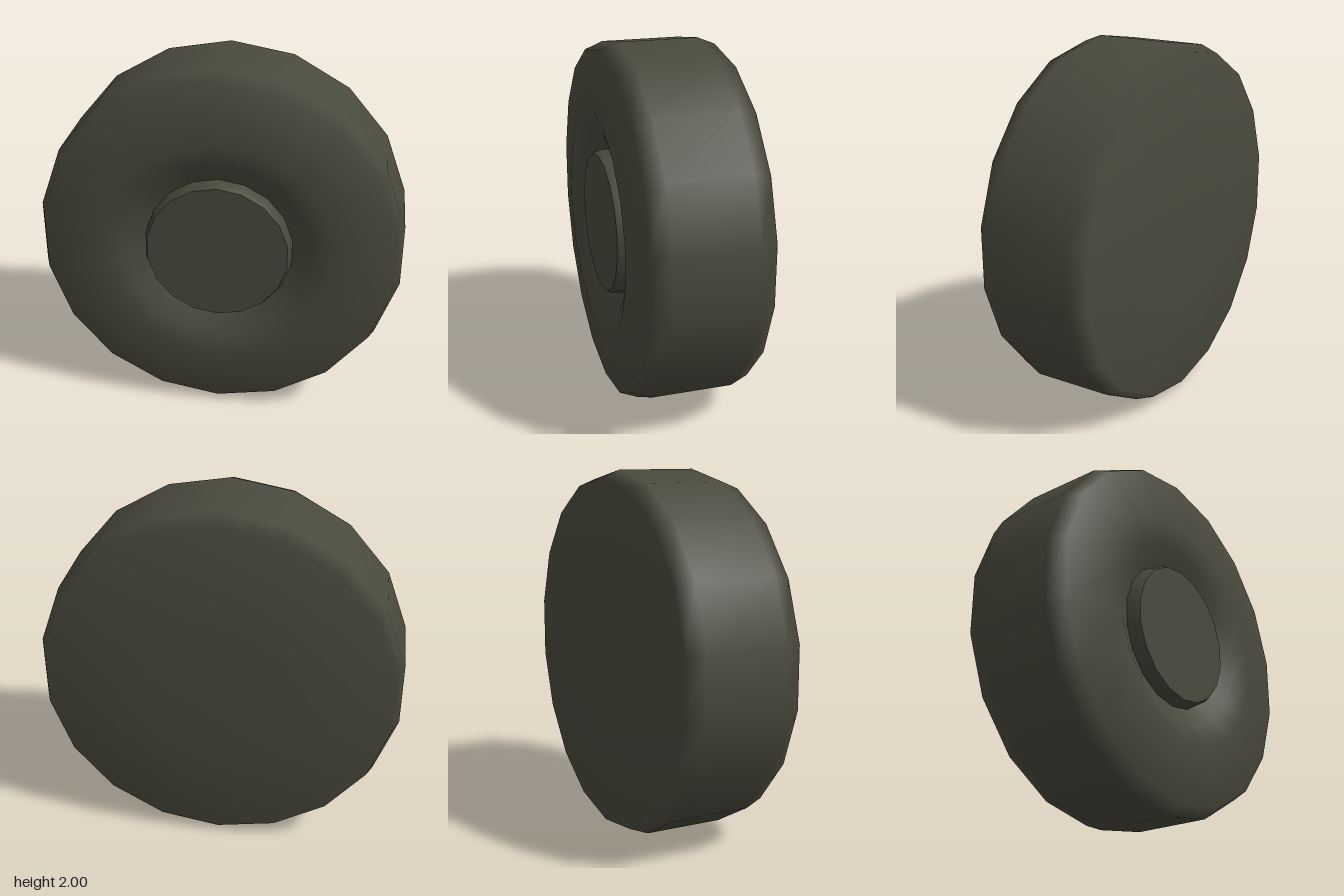
import * as THREE from 'three';

const SIDES = 18;

// Revolve [radius, depth] pairs around the front-facing axle, corner pointing up
function revolve(name, profile, material) {
  const points = profile.map(([r, z]) => new THREE.Vector2(r, z));
  const geometry = new THREE.LatheGeometry(points, SIDES);
  geometry.rotateX(Math.PI / 2);
  const mesh = new THREE.Mesh(geometry, material);
  mesh.name = name;
  mesh.position.y = 1;
  return mesh;
}

export function createModel() {
  const rubber = new THREE.MeshStandardMaterial({ color: 0x4a493d });
  rubber.name = 'dark olive rubber';

  const wheel = new THREE.Group();
  wheel.name = 'wheel';

  // Tyre: closed back, chamfered tread and a dished front sidewall
  wheel.add(revolve('tyre', [
    [0, -0.357], [0.4, -0.357], [0.96, -0.32],
    [1, -0.22], [1, 0.22],
    [0.96, 0.32], [0.64, 0.36], [0.52, 0.32], [0.405, 0.26],
  ], rubber));

  // Hub: slightly tapered boss rising from the dish, with a flat cap
  wheel.add(revolve('hub', [[0.405, 0.255], [0.4, 0.3], [0.385, 0.335]], rubber));
  wheel.add(revolve('hubCap', [[0.385, 0.335], [0, 0.335]], rubber));

  return wheel;
}
